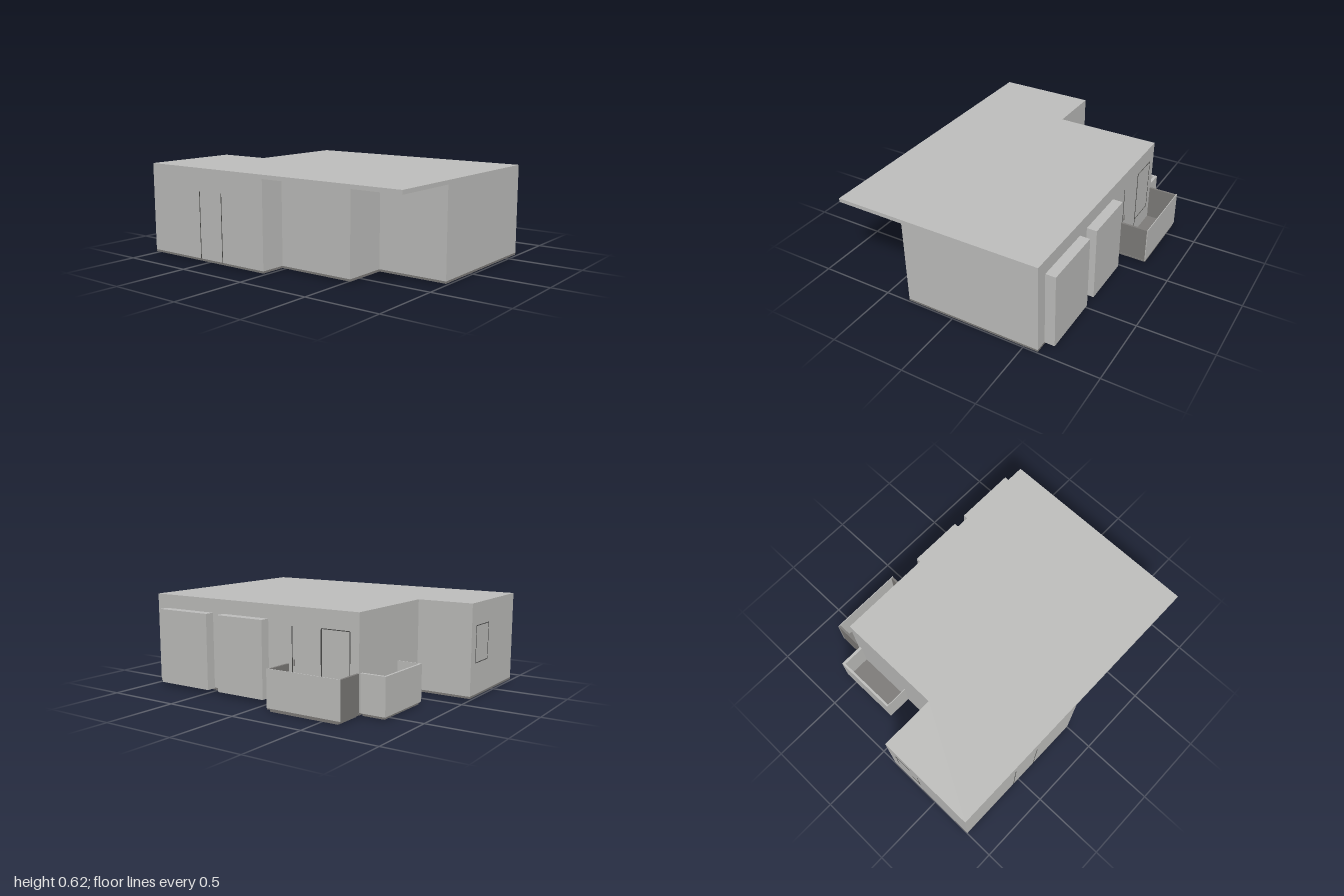
import * as THREE from 'three';

export function createModel() {
  const model = new THREE.Group();
  model.name = 'house';

  const paleGrey = new THREE.MeshStandardMaterial({ color: 0xc0c0be });
  paleGrey.name = 'paleGrey';
  const darkGrey = new THREE.MeshStandardMaterial({ color: 0x7e7c7a });
  darkGrey.name = 'darkGrey';
  const seamGrey = new THREE.MeshStandardMaterial({ color: 0x4a4a48 });
  seamGrey.name = 'seamGrey';

  // Box given by its extents on each axis
  function box(name, [x0, x1], [y0, y1], [z0, z1], material, parent = model) {
    const mesh = new THREE.Mesh(new THREE.BoxGeometry(x1 - x0, y1 - y0, z1 - z0), material);
    mesh.position.set((x0 + x1) / 2, (y0 + y1) / 2, (z0 + z1) / 2);
    mesh.name = name;
    parent.add(mesh);
    return mesh;
  }

  // Plan outline of (x, z) points raised from y0 to y1
  function slab(name, plan, y0, y1, material) {
    const shape = new THREE.Shape(plan.map(([x, z]) => new THREE.Vector2(x, -z)));
    const geometry = new THREE.ExtrudeGeometry(shape, { depth: y1 - y0, bevelEnabled: false });
    geometry.rotateX(-Math.PI / 2);
    geometry.translate(0, y0, 0);
    const mesh = new THREE.Mesh(geometry, material);
    mesh.name = name;
    model.add(mesh);
  }

  // Side and back outline is shared; the front steps back under the roof
  const backEdge = [[1, -0.6], [-0.625, -0.6], [-0.625, 0.12], [-1, 0.12], [-1, 0.8]];
  const steppedFront = [[0, 0.8], [0, 0.625], [0.53, 0.625], [0.53, 0.325], [1, 0.325]];
  const wallPlan = [...backEdge, ...steppedFront];
  slab('floor', wallPlan, 0.01, 0.024, darkGrey);
  slab('walls', wallPlan, 0.024, 0.592, paleGrey);
  slab('roof', [...backEdge, [1, 0.8]], 0.592, 0.618, paleGrey);

  // Bays on the back wall
  for (const span of [[0.04, 0.41], [0.5, 0.92]]) {
    box('backBay', span, [0.02, 0.525], [-0.667, -0.6], paleGrey);
  }

  // Thin seams around an opening, drawn in its own plane
  function outline(name, width, height, thickness, sides) {
    const group = new THREE.Group();
    group.name = name;
    const w = width / 2, h = height / 2, t = thickness / 2, d = [-0.001, 0.001];
    if (sides.includes('left')) box('leftSeam', [-w - t, -w + t], [-h, h], d, seamGrey, group);
    if (sides.includes('right')) box('rightSeam', [w - t, w + t], [-h, h], d, seamGrey, group);
    if (sides.includes('top')) box('topSeam', [-w, w], [h - t, h + t], d, seamGrey, group);
    if (sides.includes('bottom')) box('bottomSeam', [-w, w], [-h - t, -h + t], d, seamGrey, group);
    model.add(group);
    return group;
  }

  // Front door
  outline('frontDoor', 0.197, 0.45, 0.005, ['left', 'right']).position.set(-0.452, 0.245, 0.8);
  // Side window
  const sideWindow = outline('sideWindow', 0.19, 0.24, 0.005, ['left', 'right', 'top', 'bottom']);
  sideWindow.position.set(-1, 0.35, 0.285);
  sideWindow.rotation.y = -Math.PI / 2;
  // Balcony door and its neighbouring window
  outline('balconyDoor', 0.215, 0.47, 0.006, ['left', 'right']).position.set(-0.252, 0.26, -0.6);
  outline('balconyWindow', 0.2, 0.36, 0.005, ['left', 'right', 'top', 'bottom']).position.set(-0.462, 0.32, -0.6);
  box('doorHandle', [-0.165, -0.155], [0.25, 0.29], [-0.605, -0.6], darkGrey);

  // Back balcony
  const back = new THREE.Group();
  back.name = 'backBalcony';
  model.add(back);
  box('balconyFloor', [-0.61, -0.12], [0, 0.012], [-0.795, -0.6], darkGrey, back);
  box('balconyDeck', [-0.625, -0.1], [0.012, 0.024], [-0.797, -0.6], darkGrey, back);
  box('endPanel', [-0.625, -0.61], [0.02, 0.26], [-0.795, -0.6], darkGrey, back);
  box('endPanel', [-0.118, -0.103], [0.02, 0.26], [-0.795, -0.6], darkGrey, back);
  box('outerPanel', [-0.627, -0.1], [0.02, 0.263], [-0.8, -0.795], paleGrey, back);

  // Side balcony
  const side = new THREE.Group();
  side.name = 'sideBalcony';
  model.add(side);
  box('balconyFloor', [-0.775, -0.625], [0, 0.012], [-0.56, -0.145], darkGrey, side);
  box('balconyDeck', [-0.785, -0.625], [0.012, 0.024], [-0.575, -0.145], darkGrey, side);
  box('outerPanel', [-0.792, -0.777], [0.02, 0.26], [-0.582, -0.145], paleGrey, side);
  box('endPanel', [-0.777, -0.625], [0.02, 0.26], [-0.582, -0.563], paleGrey, side);
  box('endPanel', [-0.792, -0.625], [0.02, 0.26], [-0.145, -0.14], paleGrey, side);

  return model;
}
